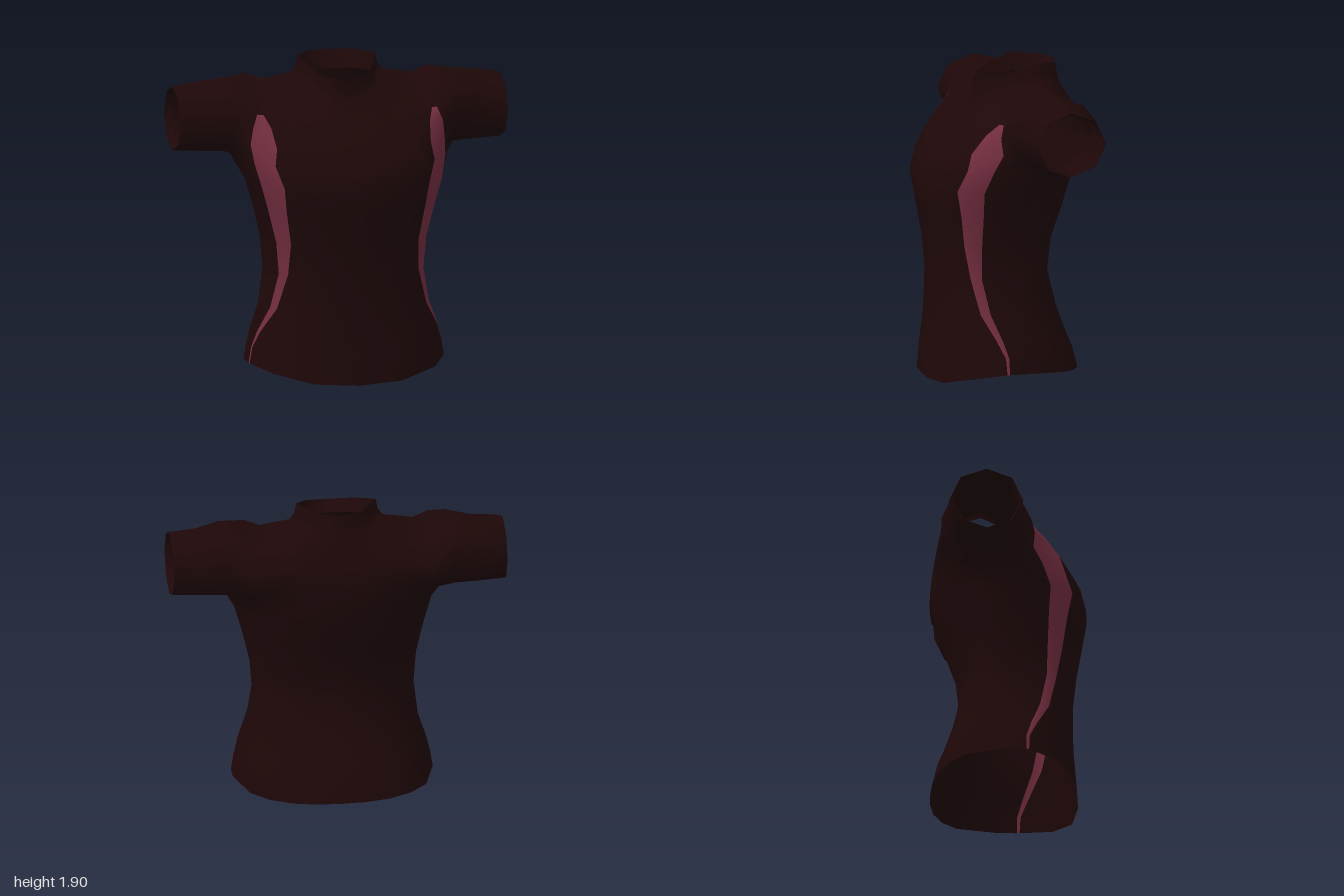
import * as THREE from 'three';

// Rounded-box cross-section; n sets the squareness
const arc = (t, n) => Math.pow(Math.max(0, 1 - Math.pow(Math.abs(t), n)), 1 / n);
const FRONT = 2.55;
const mix = (a, b, t) => a + (b - a) * t;

// Body levels, hem to underarm:
// y, half width, front z, back z, stripe inner z, stripe outer z, back squareness
const LEVELS = [
  [0.105, 0.6, 0.42, -0.46, 0.1, 0.085, 2.5],
  [0.2, 0.585, 0.405, -0.43, 0.105, 0.085, 2.4],
  [0.3, 0.56, 0.395, -0.39, 0.15, 0.115, 2.3],
  [0.45, 0.51, 0.39, -0.34, 0.225, 0.17, 2.2],
  [0.66, 0.485, 0.39, -0.29, 0.27, 0.212, 2.1],
  [0.85, 0.5, 0.41, -0.31, 0.305, 0.217, 2.1],
  [1.05, 0.548, 0.445, -0.38, 0.335, 0.222, 2.1],
  [1.2, 0.592, 0.47, -0.425, 0.365, 0.23, 2.1],
  [1.33, 0.61, 0.435, -0.455, 0.315, 0.18, 2.2],
];
const ARMPIT = [0.67, 1.345, -0.1];

// Half ring of 11 columns: 0 front centre, 3-4 stripe, 5 side, 10 back centre
function bodyRow([y, w, zf, zb, zi, zo, nb], k) {
  const xi = w * arc(zi / zf, FRONT);
  const front = [0, 0.45, 0.83].map((f) => [f * xi, y, zf * arc((f * xi) / w, FRONT)]);
  const back = [0.88, 0.71, 0.48, 0.24, 0].map((f) => [f * w, y, zb * arc(f, nb)]);
  const side = k === LEVELS.length - 1 ? ARMPIT : [w, y, -0.03];
  const row = [...front, [xi, y, zi], [w * arc(zo / zf, FRONT), y, zo], side, ...back];
  if (k === 0) { // curved hem
    row.forEach((p) => {
      p[1] -= p[2] > 0 ? 0.105 * (p[2] / zf) ** 3 : 0.035 * (p[2] / zb) ** 2;
    });
  }
  return row;
}

// Chest and back panels beside the armhole: front centre, stripe inner, front edge, back edge, back centre
const PANELS = [
  [[0, 1.45, 0.35], [0.47, 1.43, 0.285], [0.593, 1.43, 0.125], [0.55, 1.44, -0.425], [0, 1.45, -0.455]],
  [[0, 1.55, 0.245], [0.485, 1.54, 0.2], [0.58, 1.53, 0.135], [0.55, 1.55, -0.42], [0, 1.56, -0.435]],
  [[0, 1.62, 0.175], [0.515, 1.608, 0.125], [0.55, 1.608, 0.11], [0.555, 1.68, -0.355], [0, 1.67, -0.405]],
];

function panelRow([fc, si, fe, be, bc]) {
  const blend = (a, b, f, pow) => [mix(a[0], b[0], f), mix(a[1], b[1], f), mix(a[2], b[2], f ** pow)];
  return [
    fc, blend(fc, si, 0.42, 2.5), blend(fc, si, 0.78, 2.5), si, fe, null,
    be, blend(bc, be, 0.8, 3), blend(bc, be, 0.52, 3), blend(bc, be, 0.26, 3), bc,
  ];
}

// Neckline and shoulder seam
const TIP = [0.55, 1.81, -0.17], MID = [0.46, 1.772, -0.17];
const NECK = [[0, 1.68, 0.135], [0.16, 1.73, 0.07], [0.28, 1.8, -0.17], [0.15, 1.775, -0.36], [0, 1.765, -0.39]];
const SEAM = [NECK[0], NECK[1], NECK[2], MID, TIP, null, TIP, MID, NECK[2], NECK[3], NECK[4]];

// Collar half rings
const COLLAR_MID = [[0, 1.73, 0.13], [0.155, 1.775, 0.065], [0.25, 1.84, -0.17], [0.14, 1.83, -0.347], [0, 1.82, -0.385]];
const COLLAR_TOP = [[0, 1.79, 0.135], [0.15, 1.82, 0.06], [0.238, 1.9, -0.17], [0.132, 1.895, -0.338], [0, 1.89, -0.377]];
const COLLAR_IN = [[0, 1.74, 0.05], [0.13, 1.75, 0], [0.21, 1.79, -0.17], [0.125, 1.79, -0.285], [0, 1.79, -0.3]];

// Eight-sided sleeve rings: x, centre y, centre z, radius y, radius z
const SLEEVE = [
  [0.68, 1.567, -0.157, 0.225, 0.268],
  [0.82, 1.56, -0.18, 0.213, 0.222],
  [0.98, 1.555, -0.172, 0.198, 0.218],
  [1, 1.553, -0.172, 0.193, 0.215],
];
const CUFF_IN = [0.96, 1.555, -0.168, 0.175, 0.197];
// Octagon corner met by each armhole point
const CORNERS = [0, 1, 2, 2, 3, 4, 5, 6, 6, 7, 0];

function sleeveRing([x, cy, cz, ry, rz]) {
  return CORNERS.map((c) => {
    const a = (c * Math.PI) / 4;
    return [x, cy - ry * Math.cos(a), cz + rz * Math.sin(a)];
  });
}

export function createModel() {
  const cloth = new THREE.MeshStandardMaterial({ color: 0x1e0708, side: THREE.DoubleSide });
  cloth.name = 'dark maroon cloth';
  const accent = new THREE.MeshStandardMaterial({ color: 0x722d3f, side: THREE.DoubleSide });
  accent.name = 'rose stripe';

  // Shared vertices keep the shading smooth across part borders
  const positions = [], lookup = new Map(), parts = {};
  const vertex = (p, s, tag) => {
    const key = tag + [p[0] * s, p[1], p[2]].map((n) => Math.round(n * 1e4) + 0).join();
    if (!lookup.has(key)) {
      lookup.set(key, positions.length / 3);
      positions.push(p[0] * s, p[1], p[2]);
    }
    return lookup.get(key);
  };
  // Quads between two point rows, from column i0 to column i1, mirrored by s
  const strip = (part, s, a, b, i0 = 0, i1 = a.length - 1, tag = '') => {
    const index = (parts[part] ??= []);
    const triangle = (p, q, r) => {
      if (p === q || q === r || r === p) return;
      if (s > 0) index.push(p, q, r);
      else index.push(p, r, q);
    };
    for (let i = i0; i < i1; i++) {
      const [p, q, r, t] = [a[i], a[i + 1], b[i + 1], b[i]].map((v) => vertex(v, s, tag));
      triangle(p, q, r);
      triangle(p, r, t);
    }
  };

  const body = LEVELS.map(bodyRow);
  const under = body[body.length - 1];
  const panels = PANELS.map(panelRow);
  const upper = [under, ...panels, SEAM];
  const [r1, r2, r3] = panels;
  const armhole = [under[5], under[4], r1[4], r2[4], r3[4], TIP, r3[6], r2[6], r1[6], under[6], under[5]];
  const rings = [armhole, ...SLEEVE.map(sleeveRing)];

  for (const s of [1, -1]) {
    const side = s > 0 ? 'left' : 'right';
    // Torso up to the underarm
    for (let k = 0; k + 1 < body.length; k++) {
      strip('torso', s, body[k], body[k + 1], 0, 3);
      strip(side + 'Stripe', s, body[k], body[k + 1], 3, 4);
      strip('torso', s, body[k], body[k + 1], 4, 10);
    }
    // Chest and back up to the shoulders
    for (let k = 0; k + 1 < upper.length; k++) {
      strip('torso', s, upper[k], upper[k + 1], 0, 3);
      strip(k < 3 ? side + 'Stripe' : 'torso', s, upper[k], upper[k + 1], 3, 4);
      strip('torso', s, upper[k], upper[k + 1], 6, 10);
    }
    // Sleeve with turned-in cuff
    for (let k = 0; k + 1 < rings.length; k++) strip(side + 'Sleeve', s, rings[k + 1], rings[k]);
    strip(side + 'Cuff', s, sleeveRing(CUFF_IN), rings[rings.length - 1], 0, 10, 'in');
    // Collar with turned-in edge
    strip('collar', s, NECK, COLLAR_MID);
    strip('collar', s, COLLAR_MID, COLLAR_TOP);
    strip('collarLining', s, COLLAR_TOP, COLLAR_IN, 0, 4, 'in');
  }

  const whole = new THREE.BufferGeometry();
  whole.setAttribute('position', new THREE.Float32BufferAttribute(positions, 3));
  whole.setIndex(Object.values(parts).flat());
  whole.computeVertexNormals();

  const shirt = new THREE.Group();
  shirt.name = 'shirt';
  for (const [name, index] of Object.entries(parts)) {
    const geometry = new THREE.BufferGeometry();
    geometry.setAttribute('position', whole.attributes.position);
    geometry.setAttribute('normal', whole.attributes.normal);
    geometry.setIndex(index);
    const mesh = new THREE.Mesh(geometry, name.endsWith('Stripe') ? accent : cloth);
    mesh.name = name;
    shirt.add(mesh);
  }
  return shirt;
}
